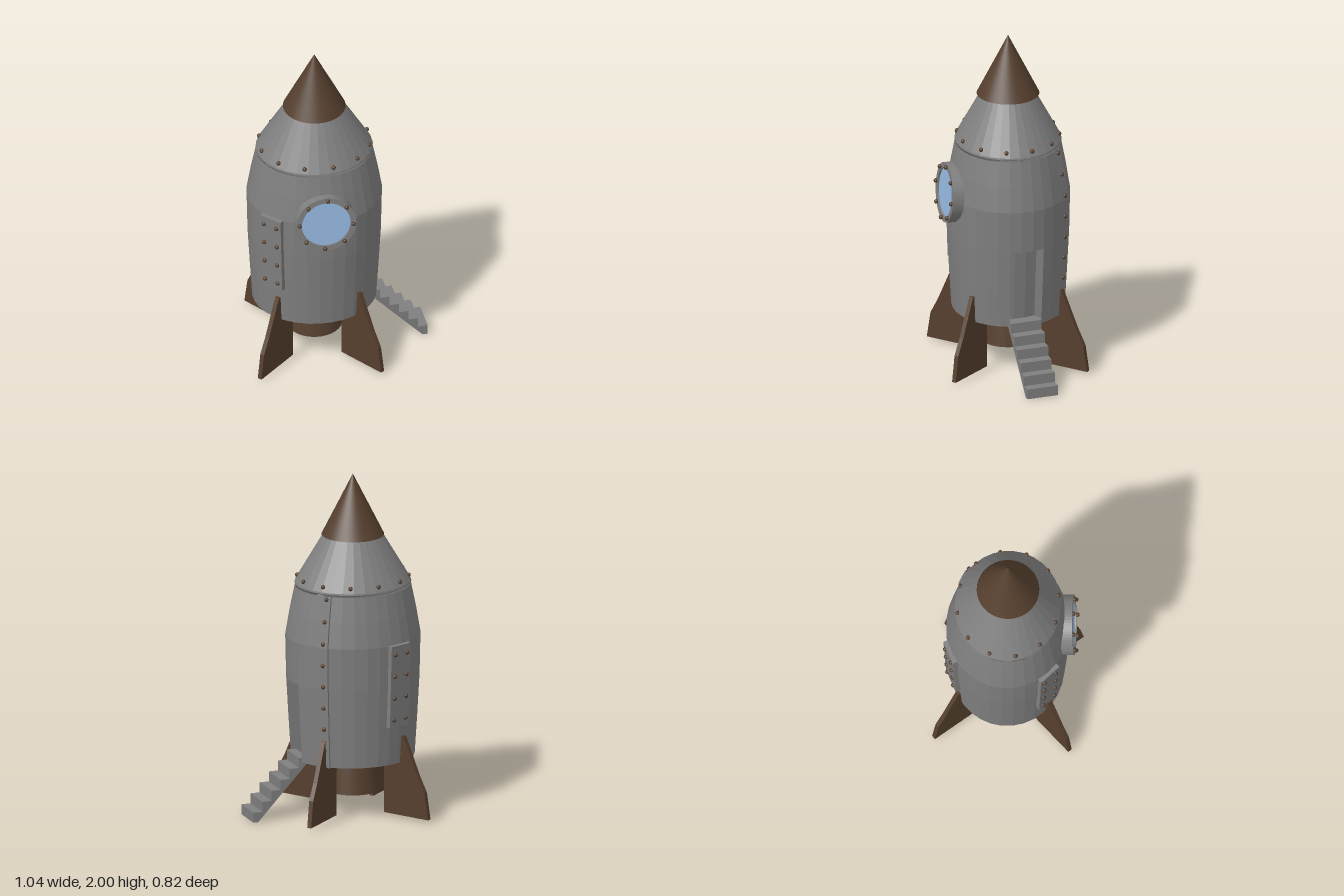
import * as THREE from 'three';

const STRETCH = 1.1;                 // the hull is slightly oval
const SIDES = 32, STEP = Math.PI * 2 / SIDES;
const DOOR_TOP = 0.8;
const HULL = [[0.325, 0.33], [0.338, 0.56], [0.35, DOOR_TOP], [0.355, 1.05], [0.332, 1.2], [0.305, 1.345]];

// hull radius at a height
function hullRadius(y) {
  let i = 0;
  while (i < HULL.length - 2 && y > HULL[i + 1][1]) i++;
  const [r0, y0] = HULL[i], [r1, y1] = HULL[i + 1];
  return r0 + (r1 - r0) * (y - y0) / (y1 - y0);
}

// point on the hull: u = 0 is +x, u = 90 degrees is +z
function hullPoint(u, y, out = 0) {
  const r = hullRadius(y) + out;
  return new THREE.Vector3(STRETCH * r * Math.cos(u), y, r * Math.sin(u));
}

function flat(geometry) {
  const g = geometry.index ? geometry.toNonIndexed() : geometry;
  g.computeVertexNormals();
  return g;
}

// skin between open cross-sections with equal point counts
function loft(sections) {
  const n = sections[0].length, index = [];
  for (let i = 0; i < sections.length - 1; i++) {
    for (let j = 0; j < n - 1; j++) {
      const a = i * n + j, b = a + n;
      index.push(a, b, a + 1, a + 1, b, b + 1);
    }
  }
  const g = new THREE.BufferGeometry().setFromPoints(sections.flat());
  g.setIndex(index);
  return flat(g);
}

function ovalLathe(profile, segments = SIDES, start = 0) {
  const pts = profile.map(([r, y]) => new THREE.Vector2(r, y));
  const g = new THREE.LatheGeometry(pts, segments, start, segments * STEP);
  g.scale(STRETCH, 1, 1);
  return flat(g);
}

export function createModel() {
  const metal = new THREE.MeshStandardMaterial({ color: 0x7f7f7f, side: THREE.DoubleSide });
  metal.name = 'grey metal';
  const brown = new THREE.MeshStandardMaterial({ color: 0x553f2e });
  brown.name = 'dark brown';
  const blue = new THREE.MeshStandardMaterial({ color: 0x96b9e2 });
  blue.name = 'blue glass';

  const model = new THREE.Group();
  model.name = 'rocket';
  const rocket = new THREE.Group();
  rocket.name = 'rocketBody';
  rocket.position.set(-0.132, 0, -0.006);
  model.add(rocket);

  const add = (name, geometry, material, parent = rocket) => {
    const mesh = new THREE.Mesh(geometry, material);
    mesh.name = name;
    parent.add(mesh);
    return mesh;
  };
  const rivetShape = new THREE.SphereGeometry(0.013, 10, 8);
  const rivet = (x, y, z, parent = rocket) => add('rivet', rivetShape, brown, parent).position.set(x, y, z);

  // hull: the lower band leaves three columns open for the doorway
  add('lowerHull', ovalLathe(HULL.slice(0, 3), SIDES - 3, Math.PI / 2 + 2 * STEP), metal);
  add('upperHull', ovalLathe(HULL.slice(2)), metal);
  const base = new THREE.CircleGeometry(0.325, SIDES).rotateX(Math.PI / 2);
  base.scale(STRETCH, 1, 1);
  add('hullBase', base, metal).position.y = 0.33;

  // doorway recess: jambs, back wall and ceiling
  const columns = [1, 0, -1, -2].map(k => k * STEP);
  const inward = new THREE.Vector3(-0.119, 0, 0.016);
  const outerEdge = y => columns.map(u => hullPoint(u, y));
  const innerEdge = y => outerEdge(y).map(p => p.add(inward));
  add('doorRecess', loft(HULL.slice(0, 3).map(([, y]) => {
    const o = outerEdge(y);
    return [o[0], ...innerEdge(y), o[3]];
  })), metal);
  add('doorCeiling', loft([outerEdge(DOOR_TOP), innerEdge(DOOR_TOP)]), metal);

  // overlapping hull seam with its rivets
  add('hullSeam', loft(HULL.map(([, y]) => [
    hullPoint(-5 * STEP, y), hullPoint(-5 * STEP, y, 0.015), hullPoint(-4 * STEP, y, 0.001),
  ])), metal);
  for (let i = 0; i < 8; i++) {
    const p = hullPoint(-0.9, 1.33 - i * 0.128, 0.008);
    rivet(p.x, p.y, p.z);
  }

  // shoulder cone, its rivets and the nose
  add('shoulderCone', ovalLathe([[0, 1.35], [0.296, 1.35], [0.307, 1.357], [0.305, 1.367], [0.155, 1.645]]), metal);
  for (let i = 0; i < 12; i++) {
    const a = (i + 0.5) * Math.PI / 6;
    rivet(STRETCH * 0.292 * Math.cos(a), 1.395, 0.292 * Math.sin(a));
  }
  add('noseCone', new THREE.ConeGeometry(0.18, 0.36, 48), brown).position.y = 1.82;

  // engine nozzle
  add('engineNozzle', new THREE.CylinderGeometry(0.125, 0.16, 0.22, 32), brown).position.y = 0.23;

  // four fins
  const finShape = new THREE.Shape([
    [0.225, 0.015], [0.53, 0.015], [0.506, 0.17], [0.457, 0.265], [0.36, 0.49], [0.225, 0.49],
  ].map(([x, y]) => new THREE.Vector2(x, y)));
  const finGeometry = new THREE.ExtrudeGeometry(finShape, { depth: 0.026, bevelEnabled: false });
  finGeometry.translate(0, 0, -0.013);
  const lean = THREE.MathUtils.degToRad(48);
  for (const angle of [lean, -lean, Math.PI - lean, Math.PI + lean]) {
    add('fin', finGeometry, brown).rotation.y = angle;
  }

  // round window
  const porthole = new THREE.Group();
  porthole.name = 'window';
  porthole.position.set(0.032, 1.066, 0.38);
  porthole.rotation.set(-0.075, 0.075, 0);
  rocket.add(porthole);
  const ringShape = new THREE.Shape().absarc(0, 0, 0.174, 0, Math.PI * 2);
  ringShape.holes.push(new THREE.Path().absarc(0, 0, 0.142, 0, Math.PI * 2, true));
  const ring = new THREE.ExtrudeGeometry(ringShape, { depth: 0.11, bevelEnabled: false, curveSegments: 32 });
  add('windowFrame', ring.translate(0, 0, -0.11), metal, porthole);
  add('windowGlass', new THREE.CircleGeometry(0.144, 32), blue, porthole).position.z = -0.01;
  for (let i = 0; i < 8; i++) {
    const a = i * Math.PI / 4 - 0.06;
    rivet(0.158 * Math.cos(a), 0.158 * Math.sin(a), 0.006, porthole);
  }

  // riveted patch plates on the hull
  for (const u of [2.33, -2.1]) {
    const plate = new THREE.Group();
    plate.name = 'patchPlate';
    plate.position.copy(hullPoint(u, 0.808, 0.002));
    plate.rotation.order = 'YXZ';
    plate.rotation.y = Math.atan2(Math.cos(u) / STRETCH, Math.sin(u));
    plate.rotation.x = 0.034;
    rocket.add(plate);
    add('plate', new THREE.BoxGeometry(0.145, 0.49, 0.03), metal, plate);
    for (const x of [-0.044, 0.044]) {
      for (let i = 0; i < 4; i++) rivet(x, -0.2 + i * 0.131, 0.017, plate);
    }
  }

  // boarding stairs
  const stairs = [[0.31, 0.325], [0.31, 0.357]];
  for (let i = 0; i < 6; i++) {
    const x = 0.365 + i * 0.056, y = 0.357 - i * 0.0595;
    stairs.push([x, y], [x, i < 5 ? y - 0.0595 : 0]);
  }
  stairs.push([0.615, 0]);
  const stairGeometry = new THREE.ExtrudeGeometry(
    new THREE.Shape(stairs.map(([x, y]) => new THREE.Vector2(x, y))), { depth: 0.187, bevelEnabled: false });
  stairGeometry.translate(0, 0, -0.0935);
  const steps = add('stairs', stairGeometry, metal);
  steps.position.z = 0.018;
  steps.rotation.y = 0.132;

  return model;
}
